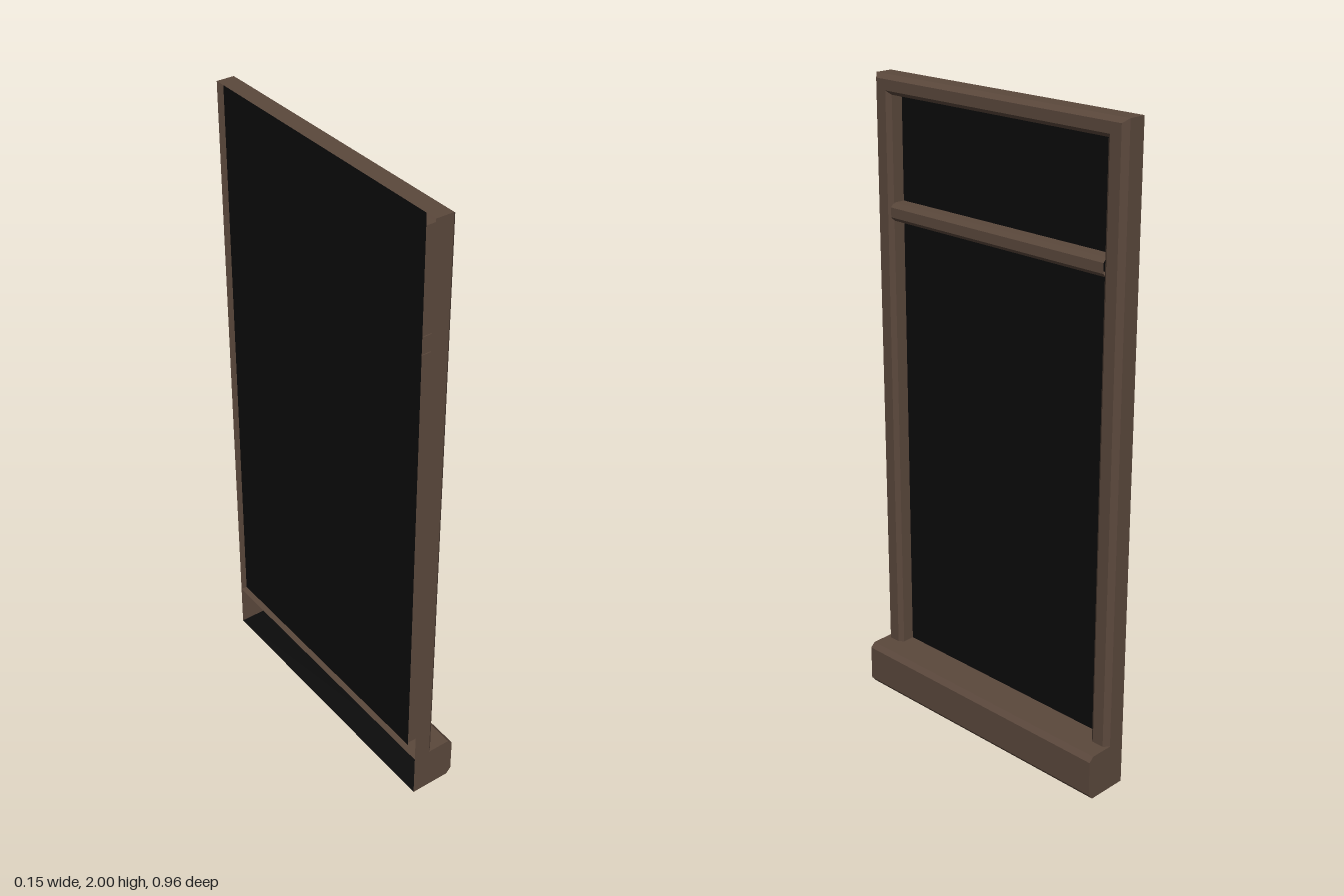
import * as THREE from 'three';

const H = 2, W = 0.48, BACK = -0.075, SILL = 0.145;

// Flat-shaded skin between successive rows of points
function loft(rows) {
  const pos = [];
  for (let i = 0; i < rows.length - 1; i++) {
    for (let j = 0; j < rows[i].length - 1; j++) {
      const a = rows[i][j], b = rows[i][j + 1], c = rows[i + 1][j], d = rows[i + 1][j + 1];
      pos.push(...a, ...c, ...b, ...b, ...c, ...d);
    }
  }
  const g = new THREE.BufferGeometry();
  g.setAttribute('position', new THREE.Float32BufferAttribute(pos, 3));
  g.computeVertexNormals();
  return g;
}

// Open x/y profile swept along z
function sweep(profile, half) {
  return loft([-half, half].map(z => profile.map(([x, y]) => [x, y, z])));
}

export function createModel() {
  const group = new THREE.Group();
  const wood = new THREE.MeshStandardMaterial({ color: 0x5b483c, side: THREE.DoubleSide });
  wood.name = 'brown frame';
  const black = new THREE.MeshStandardMaterial({ color: 0x0b0b0b, side: THREE.DoubleSide });
  black.name = 'black glass';

  const add = (name, geometry, material) => {
    const mesh = new THREE.Mesh(geometry, material);
    mesh.name = name;
    group.add(mesh);
    return mesh;
  };

  // Jambs and head: a hollow bevelled moulding, [inset, x] from outside to glass
  const moulding = [[0, BACK], [0, -0.02], [0.015, -0.004], [0.053, -0.004], [0.067, -0.016], [0.067, -0.055]];
  add('frame', loft(moulding.map(([inset, x]) => {
    const z = W - inset, top = H - inset * 0.85;
    return [[x, SILL, z], [x, top, z], [x, top, -z], [x, SILL, -z]];
  })), wood);

  // Transom bar
  add('transom', sweep([
    [-0.055, 1.625], [-0.018, 1.625], [-0.006, 1.612],
    [-0.006, 1.582], [-0.018, 1.57], [-0.055, 1.57],
  ], 0.416), wood);

  // Sill: hollow, open at the back, with a black underside
  const sill = [[BACK, SILL], [0.055, SILL], [0.07, 0.13], [0.07, 0.018], [0.055, 0]];
  add('sill', sweep(sill, W), wood);
  add('sillUnderside', sweep([[0.055, 0], [BACK, 0]], W), black);
  const endShape = new THREE.Shape([...sill, [BACK, 0]].map(p => new THREE.Vector2(...p)));
  for (const side of [-1, 1]) {
    const end = add(side > 0 ? 'sillEndFront' : 'sillEndBack', new THREE.ShapeGeometry(endShape), wood);
    end.position.z = side * W;
  }

  // Glass sheet behind the moulding
  const zMin = -W + 0.001, zMax = 0.42, top = H - 0.001;
  const glass = new THREE.PlaneGeometry(zMax - zMin, top - SILL).rotateY(Math.PI / 2);
  add('glass', glass, black).position.set(-0.055, (top + SILL) / 2, (zMin + zMax) / 2);

  return group;
}
